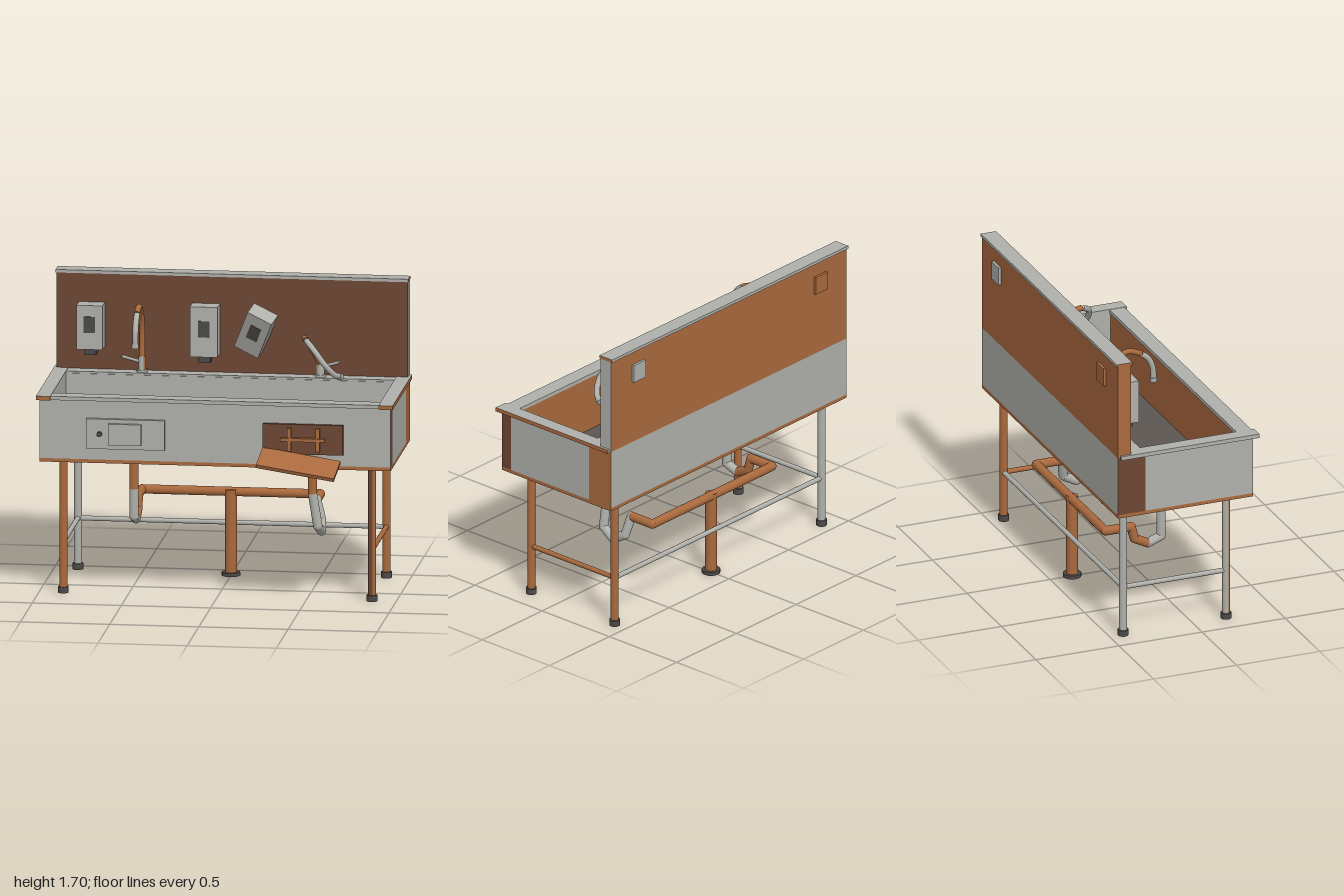
import * as THREE from 'three';

const mat = (name, color) => {
  const m = new THREE.MeshStandardMaterial({ color });
  m.name = name;
  return m;
};

export function createModel() {
  const root = new THREE.Group();
  root.name = 'rustySink';
  const steel = mat('steel', 0xafb0aa);
  const rust = mat('rust', 0xa9693d);
  const deep = mat('deepRust', 0x6d4634);
  const dark = mat('darkGrey', 0x4c4a48);
  const floor = mat('basinFloor', 0x5b5651);

  const add = (name, geo, m, parent = root) => {
    const mesh = new THREE.Mesh(geo, m);
    mesh.name = name;
    parent.add(mesh);
    return mesh;
  };
  // Box from its limits; m is one material or six in the order +x -x +y -y +z -z
  const box = (name, [x0, x1], [y0, y1], [z0, z1], m, parent = root) => {
    const mesh = add(name, new THREE.BoxGeometry(x1 - x0, y1 - y0, z1 - z0), m, parent);
    mesh.position.set((x0 + x1) / 2, (y0 + y1) / 2, (z0 + z1) / 2);
    return mesh;
  };
  const V = (x, y, z) => new THREE.Vector3(x, y, z);
  const UP = V(0, 1, 0);
  // Straight round bar between two points, optionally only part of its circumference
  const rod = (name, a, b, r, m, start = 0, arc = Math.PI * 2) => {
    const d = b.clone().sub(a);
    const mesh = add(name, new THREE.CylinderGeometry(r, r, d.length(), 16, 1, false, start, arc), m);
    mesh.position.copy(a).add(b).multiplyScalar(0.5);
    mesh.quaternion.setFromUnitVectors(UP, d.normalize());
    return mesh;
  };
  // Upright bar with one colour on the given arc and another on the rest
  const twoTone = (name, x, z, y0, y1, r, m1, m2, start, arc) => {
    rod(name, V(x, y0, z), V(x, y1, z), r, m1, start, arc);
    rod(name, V(x, y0, z), V(x, y1, z), r, m2, start + arc, Math.PI * 2 - arc);
  };
  const PI = Math.PI;

  // Basin walls, floor and base plate
  box('frontWall', [-0.985, 0.985], [0.785, 1.12], [0.245, 0.312], [deep, steel, steel, steel, steel, rust]);
  box('backWall', [-0.985, 0.985], [0.785, 1.13], [-0.5, -0.335], [rust, deep, steel, steel, steel, steel]);
  for (const s of [-1, 1]) {
    const xs = s > 0 ? [0.92, 0.985] : [-0.985, -0.92];
    box('sideWall', xs, [0.785, 1.12], [-0.335, 0.245], steel);
    // Side rails of the rim
    box('sideRim', s > 0 ? [0.92, 1] : [-1, -0.92], [1.12, 1.143], [-0.485, 0.345],
      [s > 0 ? rust : steel, steel, steel, rust, rust, steel]);
  }
  box('basinFloor', [-0.92, 0.92], [0.785, 0.8], [-0.335, 0.245], floor);
  box('basePlate', [-0.985, 0.985], [0.765, 0.785], [-0.5, 0.312], [rust, rust, steel, steel, rust, rust]);
  box('frontRim', [-0.92, 0.92], [1.12, 1.141], [0.24, 0.33], steel);
  box('backRim', [-0.92, 0.92], [1.12, 1.141], [-0.42, -0.34], steel);

  // Splashback with cap and rear mounting plates
  box('splashback', [-0.985, 0.985], [1.13, 1.685], [-0.5, -0.423], [steel, rust, steel, steel, deep, rust]);
  box('splashCap', [-0.99, 0.987], [1.683, 1.7], [-0.508, -0.415], [rust, rust, steel, rust, steel, steel]);
  box('mountingPlate', [0.71, 0.81], [1.5, 1.605], [-0.515, -0.5], steel);
  box('mountingPlate', [-0.81, -0.71], [1.5, 1.605], [-0.515, -0.5], rust);

  // Closed access panel
  box('accessPanel', [-0.72, -0.28], [0.85, 1.02], [0.312, 0.335], steel);
  box('accessCover', [-0.595, -0.41], [0.877, 0.997], [0.335, 0.355], steel);
  rod('accessKnob', V(-0.645, 0.935, 0.33), V(-0.645, 0.935, 0.35), 0.015, dark);

  // Open access panel with bars and hanging flap
  box('openPanel', [0.27, 0.72], [0.85, 1.02], [0.312, 0.332], deep);
  for (const x of [0.42, 0.58]) box('panelBar', [x - 0.011, x + 0.011], [0.87, 1.0], [0.332, 0.352], rust);
  box('panelCrossbar', [0.37, 0.62], [0.926, 0.945], [0.332, 0.357], rust);
  const along = V(0.44, -0.063, 0.022).normalize();
  const normal = V(-0.02, -0.068, 0.155).cross(along).normalize();
  const flap = add('hangingFlap', new THREE.BoxGeometry(0.445, 0.022, 0.17), rust);
  flap.quaternion.setFromRotationMatrix(
    new THREE.Matrix4().makeBasis(along, normal, along.clone().cross(normal)));
  flap.position.set(0.48, 0.82, 0.416).addScaledVector(normal, -0.011);

  // Legs, feet and braces: [x, z, main colour, second colour, arc start, arc length]
  const L = 0.865;
  for (const [x, z, m1, m2, start, arc] of [
    [L, 0.2, rust, deep, 0.1 * PI, PI], [-L, 0.2, rust, steel, -0.4 * PI, 1.4 * PI],
    [L, -0.42, rust, rust, 0, PI], [-L, -0.42, steel, steel, 0, PI]]) {
    twoTone('leg', x, z, 0.03, 0.765, 0.022, m1, m2, start, arc);
    rod('foot', V(x, 0, z), V(x, 0.035, z), 0.03, dark);
    rod('legCollar', V(x, 0.748, z), V(x, 0.765, z), 0.034, z > 0 ? rust : steel);
  }
  rod('sideBrace', V(L, 0.29, 0.2), V(L, 0.29, -0.42), 0.014, rust);
  rod('sideBrace', V(-L, 0.29, 0.2), V(-L, 0.29, -0.42), 0.014, steel);
  rod('rearBrace', V(-L, 0.29, -0.42), V(L, 0.29, -0.42), 0.014, steel);

  // Drain traps: jointed pipe, one colour per length
  const trap = (pts, mats) => {
    mats.forEach((m, i) => {
      rod('drainPipe', pts[i], pts[i + 1], 0.026, m);
      add('drainElbow', new THREE.SphereGeometry(0.026, 14, 10), m).position.copy(pts[i + 1]);
    });
    rod('drainCollar', V(pts[0].x, 0.73, -0.04), V(pts[0].x, 0.766, -0.04), 0.04, rust);
  };
  trap([V(-0.5, 0.75, -0.04), V(-0.5, 0.55, -0.04), V(-0.5, 0.39, -0.04), V(-0.5, 0.36, -0.12),
    V(-0.5, 0.4, -0.2), V(-0.5, 0.475, -0.22), V(-0.5, 0.475, -0.375)],
  [rust, steel, steel, rust, rust, rust]);
  trap([V(0.5, 0.75, -0.04), V(0.5, 0.55, -0.04), V(0.53, 0.365, -0.04), V(0.54, 0.32, -0.12),
    V(0.53, 0.365, -0.2), V(0.5, 0.475, -0.22), V(0.5, 0.475, -0.375)],
  [rust, steel, steel, steel, steel, rust]);
  rod('drainHeader', V(-0.5, 0.475, -0.375), V(0.5, 0.475, -0.375), 0.026, rust);
  rod('standpipe', V(0, 0.01, -0.367), V(0, 0.49, -0.367), 0.033, rust);
  rod('standpipeBase', V(0, 0, -0.367), V(0, 0.02, -0.367), 0.052, dark);

  // Soap dispensers
  const dispenser = (x, y, z, w, h, nozzle) => {
    const g = new THREE.Group();
    g.name = 'soapDispenser';
    g.position.set(x, y, z);
    root.add(g);
    box('dispenserBody', [-w / 2, w / 2], [-h / 2, h / 2], [-0.05, 0.05], steel, g);
    box('dispenserWindow', [-0.032, 0.032], [-0.03, 0.062], [0.05, 0.054], dark, g);
    if (nozzle) box('dispenserNozzle', [-0.035, 0.035], [-h / 2 - 0.035, -h / 2], [-0.035, 0.03], dark, g);
    return g;
  };
  dispenser(-0.787, 1.395, -0.372, 0.145, 0.25, true);
  dispenser(-0.147, 1.387, -0.372, 0.155, 0.285, true);
  dispenser(0.14, 1.393, -0.37, 0.15, 0.26, false).rotation.set(0.36, -0.26, -0.37);

  // Taps: base, lever and spout in two colours
  const tap = (x, side, first, second) => {
    twoTone('tapBase', x, -0.38, 1.14, 1.23, 0.021, steel, x < 0 ? rust : steel, -0.85 * PI, PI);
    rod('tapFlange', V(x, 1.14, -0.38), V(x, 1.155, -0.38), 0.03, steel);
    rod('tapLever', V(x, 1.195, -0.38), V(x + side * 0.11, 1.232, -0.35), 0.009, steel);
    [[first, rust], [second, steel]].forEach(([pts, m]) => {
      add('tapSpout', new THREE.TubeGeometry(new THREE.CatmullRomCurve3(pts), 24, 0.0165, 12), m);
    });
    const [b, e] = second.slice(-2);
    const dir = e.clone().sub(b).normalize();
    rod('tapOutlet', e.clone().addScaledVector(dir, -0.02), e.clone().addScaledVector(dir, 0.005), 0.02, steel);
  };
  tap(-0.5, -1,
    [V(-0.5, 1.21, -0.38), V(-0.5, 1.39, -0.378), V(-0.5, 1.49, -0.33), V(-0.5, 1.54, -0.24), V(-0.5, 1.515, -0.16)],
    [V(-0.5, 1.515, -0.16), V(-0.5, 1.475, -0.115), V(-0.5, 1.42, -0.09), V(-0.5, 1.34, -0.085)]);
  tap(0.5, 1,
    [V(0.5, 1.21, -0.38), V(0.455, 1.33, -0.3), V(0.435, 1.395, -0.2), V(0.455, 1.4, -0.12)],
    [V(0.455, 1.4, -0.12), V(0.51, 1.355, -0.055), V(0.57, 1.28, -0.04), V(0.62, 1.22, -0.07), V(0.645, 1.2, -0.115)]);

  return root;
}
